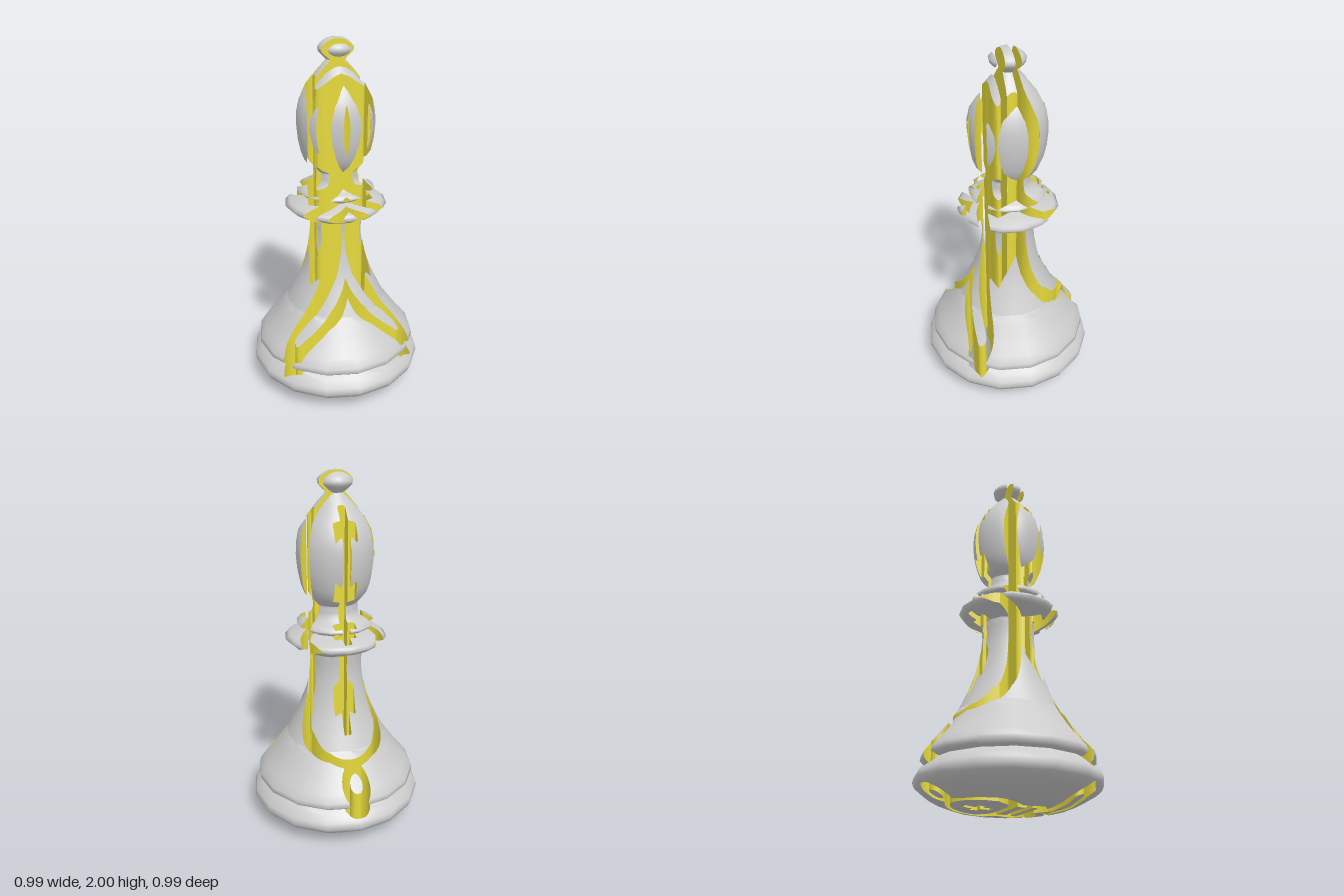
import * as THREE from 'three';

const SIDES = 16;
const STEP = (Math.PI * 2) / SIDES;
const QUARTER = Math.PI / 2;

// Smooth turned profile through a few [radius, height] points
const turn = (steps, ...points) =>
  new THREE.SplineCurve(points.map(([r, y]) => new THREE.Vector2(r, y))).getPoints(steps);

// Profiles from the bottom up, split at the creases
const PARTS = {
  base: turn(10, [0, 0], [0.27, 0.004], [0.45, 0.075], [0.495, 0.145], [0.43, 0.218]),
  foot: turn(8, [0.43, 0.218], [0.463, 0.26], [0.375, 0.375], [0.285, 0.5]),
  stem: turn(8, [0.285, 0.5], [0.195, 0.7], [0.152, 0.9], [0.155, 1.02]),
  collar: turn(6, [0.155, 1.02], [0.285, 1.097], [0.17, 1.15]),
  upperCollar: turn(6, [0.17, 1.15], [0.217, 1.185], [0.135, 1.225], [0.125, 1.3]),
  head: turn(10, [0.125, 1.3], [0.185, 1.38], [0.214, 1.55], [0.185, 1.72], [0.05, 1.89]),
  finial: turn(8, [0.05, 1.89], [0.098, 1.945], [0.05, 1.994], [0, 2]),
};

// Closed [x, z] loop from its right half, drawn from the back to the front
function mirrored(draw) {
  const path = new THREE.Path();
  draw(path);
  const half = path.getPoints(14).map((v) => [Math.max(v.x, 0), v.y]);
  return [...half, ...half.slice(1, -1).reverse().map(([x, z]) => [-x, z])];
}

// Plan of the vertical cut: nested outlines, combined by the even-odd rule
const LOOPS = [
  // outer outline: ball, mitre, neck and scrolled foot
  mirrored((p) => p
    .absarc(0, -0.393, 0.079, -QUARTER, 0.91, false)
    .bezierCurveTo(0.2, -0.28, 0.31, -0.12, 0.16, 0)
    .quadraticCurveTo(0.172, 0.05, 0.183, 0.11)
    .lineTo(0.13, 0.15)
    .bezierCurveTo(0.25, 0.18, 0.35, 0.14, 0.386, 0.275)
    .lineTo(0.298, 0.333)
    .bezierCurveTo(0.24, 0.29, 0.07, 0.33, 0, 0.238)),
  // island in the ball
  mirrored((p) => p.absarc(0, -0.393, 0.035, -QUARTER, QUARTER, false)),
  // island in the mitre
  mirrored((p) => p.moveTo(0, -0.312)
    .quadraticCurveTo(0.15, -0.29, 0.185, -0.145)
    .bezierCurveTo(0.15, -0.05, 0.11, -0.05, 0, -0.042)),
  // two islands in the neck
  mirrored((p) => p.moveTo(0, -0.008).lineTo(0.122, -0.014)
    .quadraticCurveTo(0.106, 0.013, 0.122, 0.04).lineTo(0, 0.033)),
  mirrored((p) => p.moveTo(0, 0.073).lineTo(0.12, 0.07)
    .bezierCurveTo(0.145, 0.085, 0.14, 0.12, 0, 0.1)),
  // island in the scrolled foot
  mirrored((p) => p.moveTo(0, 0.142)
    .bezierCurveTo(0.07, 0.22, 0.15, 0.217, 0.283, 0.217)
    .absarc(0.283, 0.2425, 0.0255, -QUARTER, QUARTER, false)
    .bezierCurveTo(0.2, 0.268, 0.08, 0.27, 0, 0.195)),
  // cross cut in the mitre island
  mirrored((p) => p.moveTo(0, -0.245).lineTo(0.021, -0.245).lineTo(0.021, -0.192).lineTo(0.061, -0.192)
    .lineTo(0.061, -0.15).lineTo(0.021, -0.15).lineTo(0.021, -0.097).lineTo(0, -0.097)),
];

// Signed plan distance to the cut: negative inside it
function cutDistance(x, z) {
  let best = Infinity, inside = false;
  for (const loop of LOOPS) {
    for (let i = 0, j = loop.length - 1; i < loop.length; j = i++) {
      const [ax, az] = loop[j], [bx, bz] = loop[i];
      const dx = bx - ax, dz = bz - az;
      const t = Math.min(1, Math.max(0, ((x - ax) * dx + (z - az) * dz) / (dx * dx + dz * dz || 1)));
      best = Math.min(best, (x - ax - t * dx) ** 2 + (z - az - t * dz) ** 2);
      if ((az > z) !== (bz > z) && x < ax + ((z - az) / dz) * dx) inside = !inside;
    }
  }
  return Math.sqrt(best) * (inside ? -1 : 1);
}

// Vertex = { p: position, n: normal, d: distance to the cut }
const vertex = (p, n) => ({ p, n, d: cutDistance(p.x, p.z) });
const mix = (a, b, t) => vertex(a.p.clone().lerp(b.p, t), a.n.clone().lerp(b.n, t).normalize());

// Keep the part of a triangle outside the cut, splitting it finely near the edge
function clip(tri, out) {
  const [a, b, c] = tri;
  const flat = (u, v) => Math.hypot(u.p.x - v.p.x, u.p.z - v.p.z);
  const size = Math.max(flat(a, b), flat(b, c), flat(c, a));
  if (tri.some((v) => v.d > size)) {
    out.push(a, b, c);
    return;
  }
  if (tri.some((v) => v.d < -size)) return;
  if (size > 0.014) {
    const ab = mix(a, b, 0.5), bc = mix(b, c, 0.5), ca = mix(c, a, 0.5);
    for (const t of [[a, ab, ca], [ab, b, bc], [ca, bc, c], [ab, bc, ca]]) clip(t, out);
    return;
  }
  const poly = [];
  tri.forEach((u, i) => {
    const v = tri[(i + 1) % 3];
    if (u.d >= 0) poly.push(u);
    if ((u.d >= 0) !== (v.d >= 0)) poly.push(mix(u, v, u.d / (u.d - v.d)));
  });
  for (let i = 2; i < poly.length; i++) out.push(poly[0], poly[i - 1], poly[i]);
}

function turnedPart(profile) {
  const lathe = new THREE.LatheGeometry(profile, SIDES);
  const { position, normal } = lathe.attributes, index = lathe.index.array, out = [];
  const verts = Array.from({ length: position.count }, (_, i) => vertex(
    new THREE.Vector3().fromBufferAttribute(position, i), new THREE.Vector3().fromBufferAttribute(normal, i)));
  for (let i = 0; i < index.length; i += 3) clip([verts[index[i]], verts[index[i + 1]], verts[index[i + 2]]], out);
  const geo = new THREE.BufferGeometry();
  geo.setAttribute('position', new THREE.Float32BufferAttribute(out.flatMap((v) => v.p.toArray()), 3));
  geo.setAttribute('normal', new THREE.Float32BufferAttribute(out.flatMap((v) => v.n.toArray()), 3));
  return geo;
}

// Heights where a vertical line crosses the turned surface
function heights(x, z) {
  const a = (Math.atan2(x, z) + Math.PI * 2) % STEP;
  const r = (Math.hypot(x, z) * Math.cos(a - STEP / 2)) / Math.cos(STEP / 2);
  const ys = [];
  for (const profile of Object.values(PARTS)) {
    for (let i = 1; i < profile.length; i++) {
      const u = profile[i - 1], v = profile[i];
      if ((u.x > r) !== (v.x > r)) ys.push(u.y + ((r - u.x) / (v.x - u.x)) * (v.y - u.y));
    }
  }
  return ys;
}

// Vertical walls along the cut outlines, facing into the cut
function cutWalls() {
  const pos = [];
  for (const loop of LOOPS) {
    loop.forEach(([ax, az], i) => {
      const [bx, bz] = loop[(i + 1) % loop.length];
      const dx = bx - ax, dz = bz - az, len = Math.hypot(dx, dz);
      if (len < 1e-6) return;
      const e = 0.001 / len;
      const flip = cutDistance((ax + bx) / 2 - dz * e, (az + bz) / 2 + dx * e) > 0;
      const n = Math.ceil(len / 0.006);
      for (let k = 0; k < n; k++) {
        let p = [ax + (dx * k) / n, az + (dz * k) / n], q = [ax + (dx * (k + 1)) / n, az + (dz * (k + 1)) / n];
        if (flip) [p, q] = [q, p];
        let hp = heights(...p), hq = heights(...q);
        if (hp.length !== hq.length) hp = hq = heights((p[0] + q[0]) / 2, (p[1] + q[1]) / 2);
        for (let h = 0; h + 1 < hp.length; h += 2) {
          const p0 = [p[0], hp[h], p[1]], p1 = [p[0], hp[h + 1], p[1]];
          const q0 = [q[0], hq[h], q[1]], q1 = [q[0], hq[h + 1], q[1]];
          pos.push(...p0, ...q1, ...p1, ...p0, ...q0, ...q1);
        }
      }
    });
  }
  const geo = new THREE.BufferGeometry();
  geo.setAttribute('position', new THREE.Float32BufferAttribute(pos, 3));
  geo.computeVertexNormals();
  return geo;
}

export function createModel() {
  const group = new THREE.Group();
  group.name = 'chessPiece';
  const add = (name, geo, material) => {
    const mesh = new THREE.Mesh(geo, material);
    mesh.name = name;
    group.add(mesh);
  };
  const grey = new THREE.MeshStandardMaterial({ color: 0xcccccc });
  for (const [name, profile] of Object.entries(PARTS)) add(name, turnedPart(profile), grey);
  add('cutWalls', cutWalls(), new THREE.MeshStandardMaterial({ color: 0xe6d93c }));
  return group;
}
